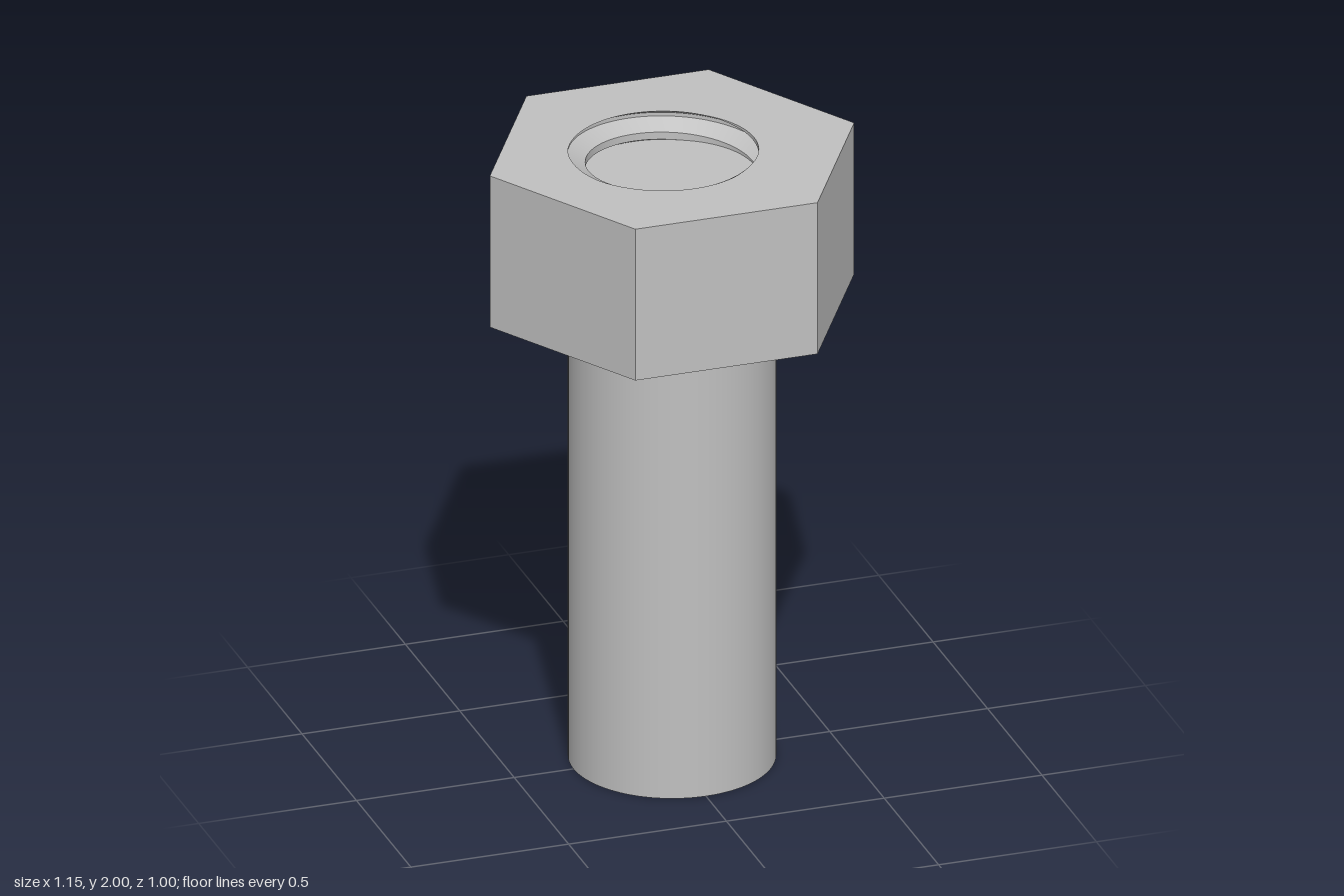
import * as THREE from 'three';
import { toCreasedNormals } from 'three/addons/utils/BufferGeometryUtils.js';

const SEG = 96;
const TOP = 2, HEAD = 0.5, FLOOR = 1.91;    // head top, head height, end of shaft inside the hole
const HEX = 1 / Math.sqrt(3);               // corner radius, flats 1.0 apart
const MAJOR = 0.3125, MINOR = 0.26, PITCH = 0.094;
const START = THREE.MathUtils.degToRad(175); // where the groove leaves the top face

// height of the groove centre, falling clockwise as seen from above
const grooveHeight = (phi) => TOP - PITCH * (phi - START) / (2 * Math.PI);

// thread radius at a height and angle: flat crest, sloped flanks, flat root
function threadRadius(y, phi) {
  const turns = (y - grooveHeight(phi)) / PITCH;
  const s = Math.abs(turns - Math.round(turns));
  const t = THREE.MathUtils.clamp((s - 1 / 16) / (5 / 16), 0, 1);
  return THREE.MathUtils.lerp(MAJOR, MINOR, t);
}

// helical wall of the hole, its rows following the thread and clipped at both ends
function threadGeometry() {
  const rows = [];
  for (let k = -3; k <= 3; k++) for (const o of [-3 / 8, -1 / 16, 1 / 16, 3 / 8]) rows.push((k + o) * PITCH);
  const positions = [], index = [], n = rows.length;
  for (let i = 0; i <= SEG; i++) {
    const phi = (i / SEG) * Math.PI * 2;
    rows.forEach((row, j) => {
      const y = THREE.MathUtils.clamp(grooveHeight(phi) + row, FLOOR - 0.005, TOP);
      const r = threadRadius(y, phi);
      positions.push(r * Math.cos(phi), y, r * Math.sin(phi));
      if (i < SEG && j < n - 1) {
        const a = i * n + j, b = a + n;
        index.push(a, b, a + 1, b, b + 1, a + 1);
      }
    });
  }
  const geometry = new THREE.BufferGeometry();
  geometry.setAttribute('position', new THREE.Float32BufferAttribute(positions, 3));
  geometry.setIndex(index);
  return toCreasedNormals(geometry, 0.4);
}

// closed ring of 2D points from a radius rule
function ring(count, radius) {
  return Array.from({ length: count }, (_, i) => {
    const phi = (i / count) * Math.PI * 2, r = radius(phi);
    return new THREE.Vector2(r * Math.cos(phi), -r * Math.sin(phi));
  });
}

export function createModel() {
  const group = new THREE.Group();
  const steel = new THREE.MeshStandardMaterial({ color: 0xc0c0c0 });
  steel.name = 'steel grey';
  const add = (name, geometry, parent = group) => {
    const mesh = new THREE.Mesh(geometry, steel);
    mesh.name = name;
    parent.add(mesh);
  };

  // shaft, closing the hole in the head with its upper end
  add('shaft', new THREE.CylinderGeometry(MAJOR, MAJOR, FLOOR, SEG).translate(0, FLOOR / 2, 0));

  // hexagonal head
  const head = new THREE.Group();
  head.name = 'head';
  group.add(head);
  const sides = new THREE.CylinderGeometry(HEX, HEX, HEAD, 6, 1, true, Math.PI / 2);
  add('headSides', toCreasedNormals(sides.translate(0, TOP - HEAD / 2, 0), 0.4), head);

  const topFace = new THREE.Shape(ring(6, () => HEX));
  topFace.holes.push(new THREE.Path(ring(SEG, (phi) => threadRadius(TOP, phi))));
  add('headTop', new THREE.ShapeGeometry(topFace).rotateX(-Math.PI / 2).translate(0, TOP, 0), head);

  const underside = new THREE.Shape(ring(6, () => HEX));
  underside.holes.push(new THREE.Path(ring(SEG, () => MAJOR)));
  add('headUnderside', new THREE.ShapeGeometry(underside).rotateX(Math.PI / 2).translate(0, TOP - HEAD, 0), head);

  // threaded hole
  add('threadedHole', threadGeometry(), head);
  return group;
}
